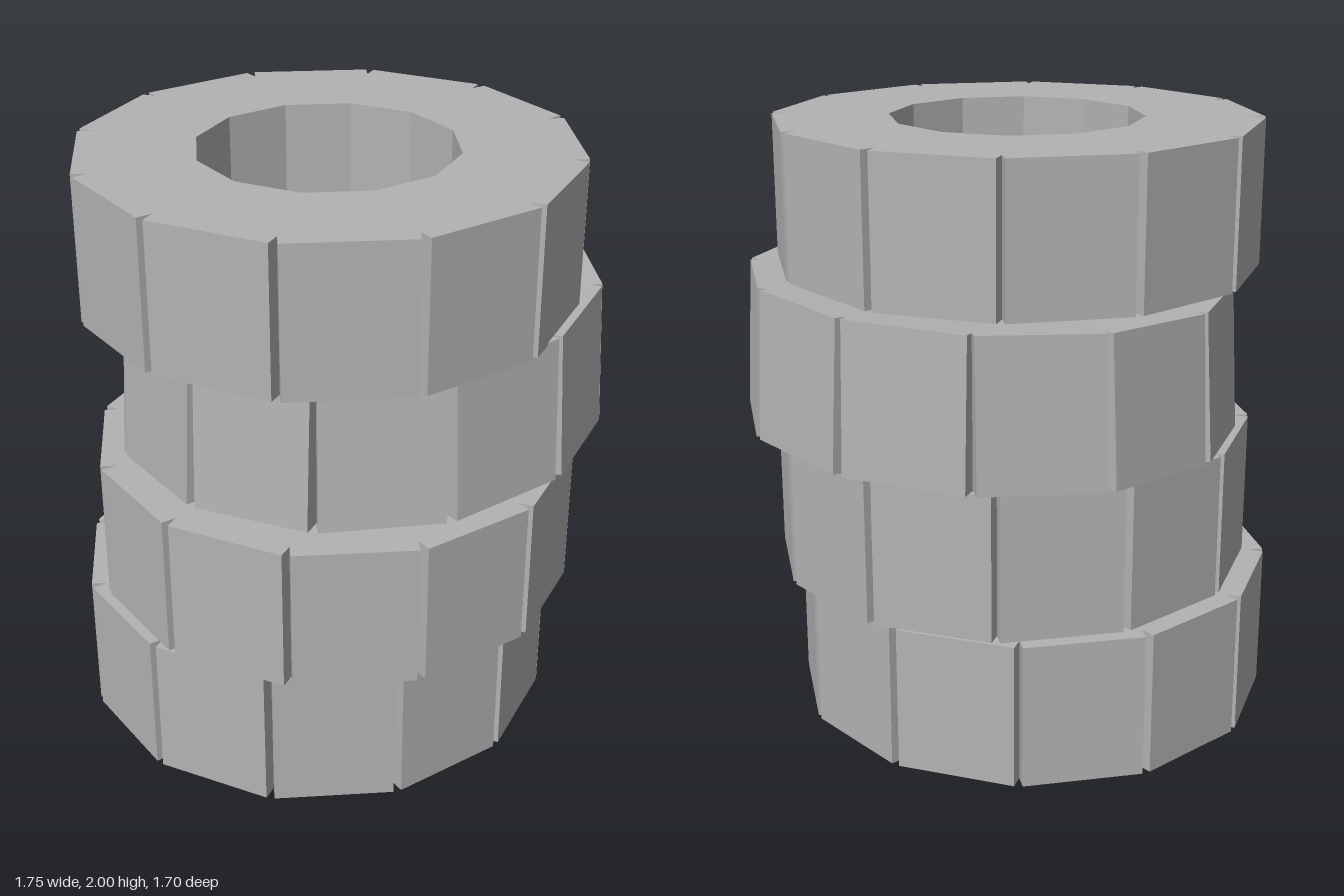
import * as THREE from 'three';

const SIDES = 12;
const OUTER = 0.79;    // apothem of the outer faces
const INNER = 0.41;    // apothem of the hole
const HALF = 0.1975;   // half width of one block
const HEIGHT = 0.488;

const stone = new THREE.MeshStandardMaterial({ color: 0xb3b3b3 });
stone.name = 'grey stone';

// Twelve-sided ring with a V groove at every corner
function ringGeometry() {
  const outline = [], hole = [];
  const apex = HALF / Math.sin(Math.PI / SIDES);
  const holeRadius = INNER / Math.cos(Math.PI / SIDES);
  for (let i = 0; i < SIDES; i++) {
    const a = (i / SIDES) * Math.PI * 2;
    const c = Math.cos(a), s = Math.sin(a);
    const corner = a + Math.PI / SIDES;
    for (const t of [-HALF, HALF]) {
      outline.push(new THREE.Vector2(OUTER * c - t * s, OUTER * s + t * c));
    }
    outline.push(new THREE.Vector2(apex * Math.cos(corner), apex * Math.sin(corner)));
    hole.push(new THREE.Vector2(holeRadius * Math.cos(corner), holeRadius * Math.sin(corner)));
  }
  const shape = new THREE.Shape(outline);
  shape.holes.push(new THREE.Path(hole));
  const geometry = new THREE.ExtrudeGeometry(shape, { depth: HEIGHT, bevelEnabled: false });
  geometry.rotateX(-Math.PI / 2);
  return geometry;
}

// Loose ring: separate blocks, each leaning inwards, rising towards +x
function looseRing() {
  const ring = new THREE.Group();
  const slope = new THREE.Matrix4().set(
    1, 0, 0, 0,
    0.04, 1, 0, 0,
    0, 0, 1, 0,
    0, 0, 0, 1
  );
  for (let i = 0; i < SIDES; i++) {
    const block = new THREE.BoxGeometry(HALF * 2, HEIGHT, OUTER - INNER);
    block.rotateX(-0.054);
    block.translate(0, 0, (OUTER + INNER) / 2);
    block.rotateY((i / SIDES) * Math.PI * 2);
    block.applyMatrix4(slope);
    const mesh = new THREE.Mesh(block, stone);
    mesh.name = 'looseBlock' + (i + 1);
    ring.add(mesh);
  }
  return ring;
}

export function createModel() {
  const model = new THREE.Group();
  model.name = 'ringStack';

  // Level rings, shifted slightly off centre
  const geometry = ringGeometry();
  const levels = [
    ['bottomRing', -0.085, 0, -0.002],
    ['secondRing', -0.022, 0.49, 0.042],
    ['topRing', -0.043, 2 - HEIGHT, 0.062],
  ];
  for (const [name, x, y, z] of levels) {
    const ring = new THREE.Mesh(geometry, stone);
    ring.name = name;
    ring.position.set(x, y, z);
    model.add(ring);
  }

  // Third ring
  const loose = looseRing();
  loose.name = 'looseRing';
  loose.position.set(0.068, 1.248, -0.047);
  model.add(loose);

  return model;
}
